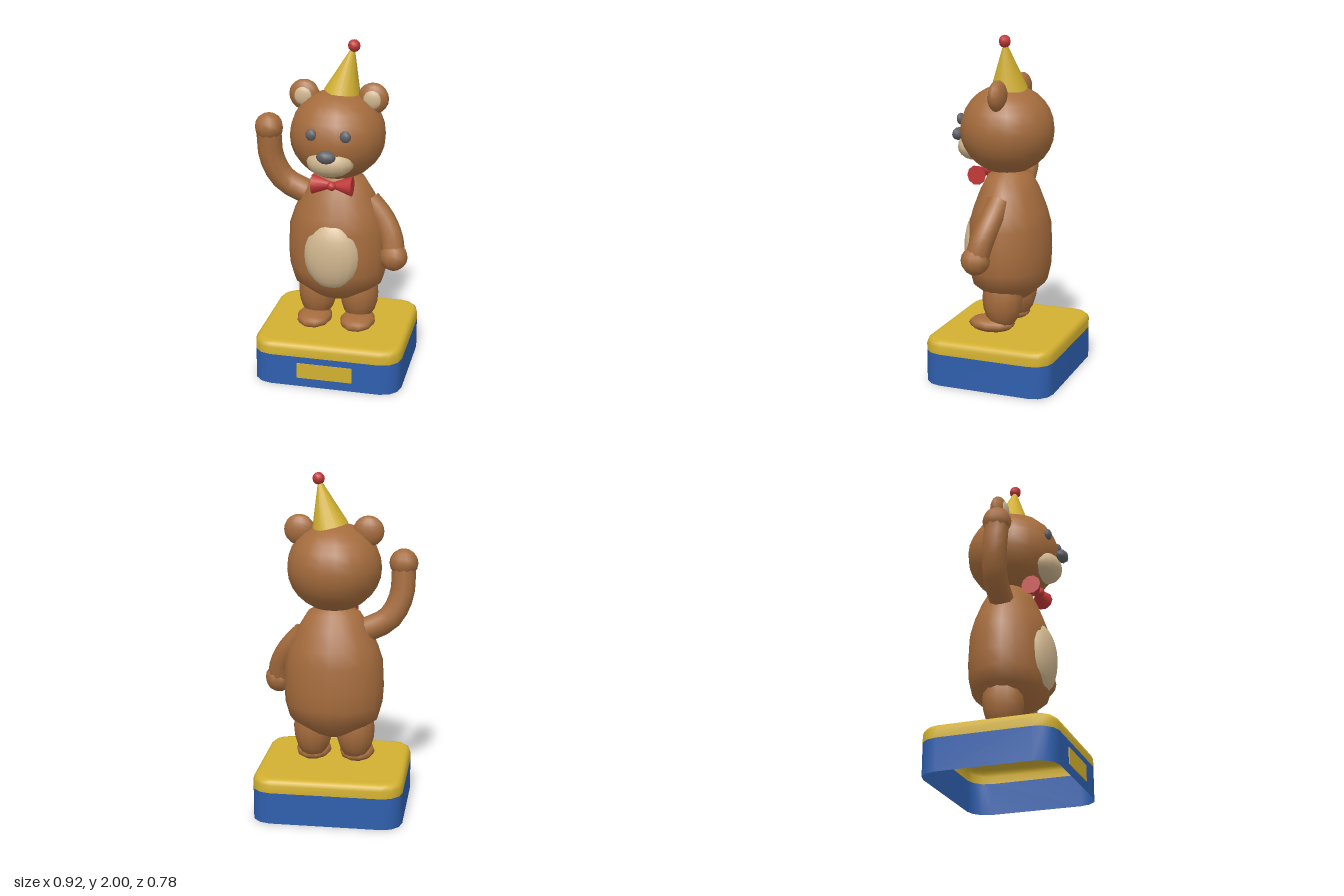
import * as THREE from 'three';

const CX = 0.02; // the figure's middle line

const mat = (name, color, side = THREE.FrontSide) => {
  const m = new THREE.MeshStandardMaterial({ color, side });
  m.name = name;
  return m;
};

// Stacked rounded-rectangle rings [inset, y], optionally closed on top
function roundedShell(rings, halfX, halfZ, radius, closed) {
  const pos = [], idx = [], steps = 3, n = 4 * (steps + 1);
  for (const [inset, y] of rings) {
    for (let q = 0; q < 4; q++) {
      const sx = q === 0 || q === 3 ? 1 : -1, sz = q < 2 ? 1 : -1;
      for (let s = 0; s <= steps; s++) {
        const a = (q + s / steps) * Math.PI / 2, r = radius - inset;
        pos.push(sx * (halfX - radius) + r * Math.cos(a), y, sz * (halfZ - radius) + r * Math.sin(a));
      }
    }
  }
  for (let k = 0; k < rings.length - 1; k++) {
    for (let i = 0; i < n; i++) {
      const a = k * n + i, b = k * n + (i + 1) % n;
      idx.push(a, a + n, b, b, a + n, b + n);
    }
  }
  if (closed) {
    const last = (rings.length - 1) * n, c = pos.length / 3;
    pos.push(0, rings[rings.length - 1][1], 0);
    for (let i = 0; i < n; i++) idx.push(last + i, c, last + (i + 1) % n);
  }
  const g = new THREE.BufferGeometry();
  g.setAttribute('position', new THREE.Float32BufferAttribute(pos, 3));
  g.setIndex(idx);
  g.computeVertexNormals();
  return g;
}

export function createModel() {
  const root = new THREE.Group();
  root.name = 'bearStatue';

  const fur = mat('brownFur', 0xa56c3d);
  const cream = mat('creamFur', 0xd0b68e);
  const dark = mat('darkGrey', 0x606266);
  const red = mat('red', 0xc23838);
  const gold = mat('gold', 0xd2b030, THREE.DoubleSide);
  const blue = mat('blue', 0x2f5fae, THREE.DoubleSide);

  const add = (name, geometry, material, x = 0, y = 0, z = 0) => {
    const m = new THREE.Mesh(geometry, material);
    m.name = name;
    m.position.set(x, y, z);
    root.add(m);
    return m;
  };
  const ball = (name, material, [x, y, z], [rx, ry, rz], w = 12, h = 8) => {
    const m = add(name, new THREE.SphereGeometry(1, w, h), material, x, y, z);
    m.scale.set(rx, ry, rz);
    return m;
  };

  // Hollow pedestal, open underneath
  add('pedestalWall', roundedShell([[0, 0], [0, 0.19]], 0.44, 0.387, 0.115, false), blue, CX);
  add('pedestalTop', roundedShell(
    [[0, 0.19], [0, 0.235], [0.008, 0.256], [0.024, 0.268], [0.05, 0.27]],
    0.44, 0.387, 0.115, true), gold, CX);
  add('plaque', new THREE.BoxGeometry(0.33, 0.095, 0.008), gold, CX, 0.103, 0.387);

  // Body
  const profile = [[0, 0.425], [0.065, 0.43], [0.15, 0.465], [0.265, 0.55], [0.29, 0.64], [0.297, 0.74],
    [0.289, 0.9], [0.26, 0.99], [0.21, 1.1], [0.155, 1.19], [0, 1.28]]
    .map(([r, y]) => new THREE.Vector2(r, y));
  add('body', new THREE.LatheGeometry(profile, 18), fur, CX).scale.z = 0.81;
  ball('bellyPatch', cream, [CX, 0.763, 0.18], [0.167, 0.21, 0.092], 16, 12);

  // Head and face
  ball('head', fur, [CX, 1.453, 0.018], [0.277, 0.26, 0.275], 18, 14);
  ball('muzzle', cream, [CX, 1.345, 0.22], [0.137, 0.085, 0.095], 14, 10);
  ball('nose', dark, [CX, 1.405, 0.325], [0.056, 0.038, 0.036], 8, 6);

  // Mirrored parts
  for (const [side, s] of [['left', 1], ['right', -1]]) {
    ball(side + 'Eye', dark, [CX + s * 0.097, 1.512, 0.269], [0.033, 0.034, 0.022], 10, 6);
    ball(side + 'Ear', fur, [CX + s * 0.2, 1.668, 0], [0.09, 0.09, 0.05], 14, 10);
    ball(side + 'InnerEar', cream, [CX + s * 0.2, 1.667, 0.034], [0.056, 0.056, 0.022], 10, 8);
    ball(side + 'Leg', fur, [CX + s * 0.127, 0.475, 0], [0.117, 0.19, 0.12], 12, 10);
    ball(side + 'Foot', fur, [CX + s * 0.132, 0.311, 0.066], [0.106, 0.048, 0.14], 10, 8);
    // Bow wing, widening away from the knot
    add(side + 'BowWing', new THREE.CylinderGeometry(0.058, 0.016, 0.117, 10), red,
      CX + s * 0.058, 1.19, 0.165).rotation.z = -s * Math.PI / 2;
  }
  ball('bowKnot', red, [CX, 1.19, 0.185], [0.027, 0.027, 0.027], 8, 6);

  // Arms: a tube with a flat shoulder cap and a round paw
  const arm = (side, points, radius, paw) => {
    const curve = new THREE.CatmullRomCurve3(points.map(p => new THREE.Vector3(...p)));
    add(side + 'Arm', new THREE.TubeGeometry(curve, 8, radius, 10), fur);
    const start = curve.getPoint(0);
    const cap = add(side + 'ShoulderCap', new THREE.CircleGeometry(radius, 10), fur, start.x, start.y, start.z);
    cap.lookAt(start.clone().sub(curve.getTangent(0)));
    ball(side + 'Paw', fur, paw, [0.084, 0.084, 0.084], 10, 8);
  };
  arm('left', [[0.2, 1.055, 0], [0.29, 0.955, 0.02], [0.345, 0.85, 0.05], [0.363, 0.75, 0.075]],
    0.069, [0.365, 0.747, 0.08]);
  arm('right', [[-0.15, 1.075, 0.01], [-0.3, 1.155, 0.02], [-0.37, 1.29, 0.04], [-0.38, 1.45, 0.055]],
    0.073, [-0.379, 1.478, 0.057]);

  // Tilted party hat with a bobble
  const base = new THREE.Vector3(0.042, 1.69, 0), tip = new THREE.Vector3(0.108, 1.975, 0);
  const axis = tip.clone().sub(base);
  const mid = base.clone().add(tip).multiplyScalar(0.5);
  add('partyHat', new THREE.ConeGeometry(0.107, axis.length(), 14), gold, mid.x, mid.y, mid.z)
    .quaternion.setFromUnitVectors(new THREE.Vector3(0, 1, 0), axis.normalize());
  ball('hatBobble', red, [0.108, 1.964, 0], [0.036, 0.036, 0.036], 8, 6);

  return root;
}
